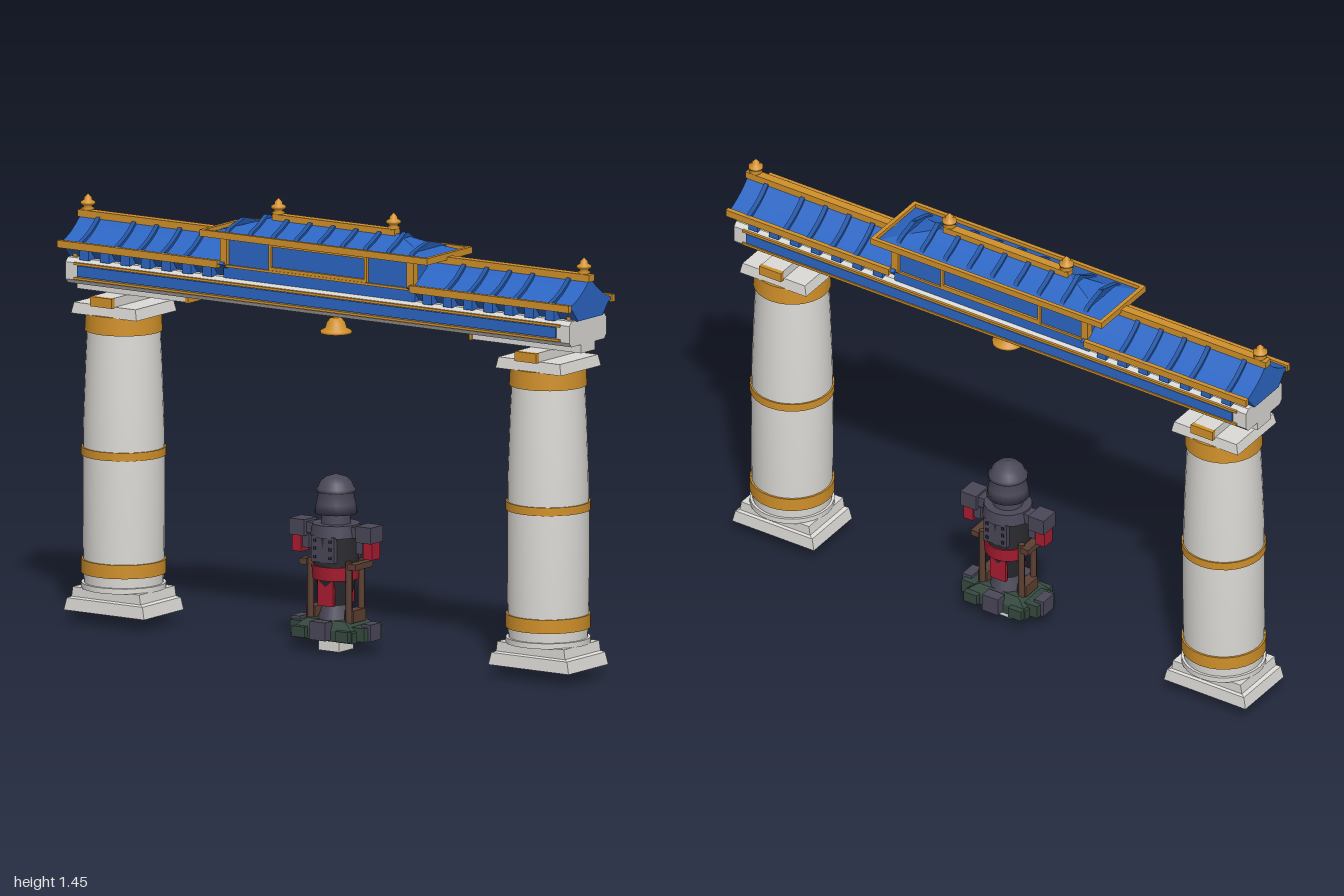
import * as THREE from 'three';

const mat = (name, color) => {
  const m = new THREE.MeshStandardMaterial({ color });
  m.name = name;
  return m;
};
const stone = mat('pale stone', 0xdcdad6), gold = mat('gold', 0xd0902a), blue = mat('blue', 0x2c66c4),
  rib = mat('rib blue', 0x2355a4), iron = mat('dark iron', 0x4a4758), red = mat('red', 0xa81c30),
  green = mat('dark green', 0x35493f), brown = mat('brown', 0x5c4033), black = mat('black', 0x2c2b30);

export function createModel() {
  const root = new THREE.Group();
  root.name = 'gateway';
  let part = root;
  const group = (name) => {
    part = new THREE.Group();
    part.name = name;
    root.add(part);
    return part;
  };
  const add = (name, geo, m, x = 0, y = 0, z = 0) => {
    const mesh = new THREE.Mesh(geo, m);
    mesh.name = name;
    mesh.position.set(x, y, z);
    part.add(mesh);
    return mesh;
  };
  // box by centre x, bottom and top y, centre z
  const box = (name, m, w, y0, y1, d, x = 0, z = 0) =>
    add(name, new THREE.BoxGeometry(w, y1 - y0, d), m, x, (y0 + y1) / 2, z);
  const cyl = (name, m, r0, r1, y0, y1, x = 0, z = 0, n = 28) =>
    add(name, new THREE.CylinderGeometry(r1, r0, y1 - y0, n), m, x, (y0 + y1) / 2, z);
  const lathe = (name, m, pts, x = 0, y = 0, z = 0, n = 20) =>
    add(name, new THREE.LatheGeometry(pts.map((p) => new THREE.Vector2(...p)), n), m, x, y, z);
  // rectangular rings [halfX, halfZ, y] joined from bottom to top
  const loft = (name, m, rings, x = 0, z = 0) => {
    const pos = [], idx = [];
    for (const [a, b, y] of rings) pos.push(-a, y, b, a, y, b, a, y, -b, -a, y, -b);
    for (let r = 0; r < rings.length - 1; r++)
      for (let i = 0; i < 4; i++) {
        const p = r * 4 + i, q = r * 4 + (i + 1) % 4;
        idx.push(p, q, q + 4, p, q + 4, p + 4);
      }
    const t = (rings.length - 1) * 4;
    idx.push(0, 2, 1, 0, 3, 2, t, t + 1, t + 2, t, t + 2, t + 3);
    let g = new THREE.BufferGeometry();
    g.setAttribute('position', new THREE.Float32BufferAttribute(pos, 3));
    g.setIndex(idx);
    g = g.toNonIndexed();
    g.computeVertexNormals();
    return add(name, g, m, x, 0, z);
  };
  // half cross-section [z, y] mirrored about z = 0 and extruded along x
  const bar = (name, m, half, x0, x1) => {
    const all = [...half, ...half.map(([z, y]) => [-z, y]).reverse()];
    const g = new THREE.ExtrudeGeometry(new THREE.Shape(all.map((p) => new THREE.Vector2(...p))),
      { depth: x1 - x0, bevelEnabled: false });
    g.rotateY(Math.PI / 2);
    return add(name, g, m, x0);
  };
  const finial = (x, y) => lathe('finial', gold, [[0.014, 0], [0.022, 0.008], [0.012, 0.014], [0.024, 0.022],
    [0.024, 0.029], [0.012, 0.036], [0.013, 0.042], [0, 0.056]], x, y);

  // Columns with plinths, bands and crossed brackets
  for (const s of [-1, 1]) {
    group(s < 0 ? 'rightColumn' : 'leftColumn');
    const x = s * 0.83;
    loft('plinth', stone, [[0.157, 0.112, 0.04], [0.148, 0.108, 0.08], [0.135, 0.1, 0.085], [0.13, 0.1, 0.117]], x);
    cyl('baseRing', stone, 0.137, 0.137, 0.115, 0.133, x);
    lathe('shaft', stone, [[0.128, 0.13], [0.132, 0.25], [0.133, 0.5], [0.13, 0.68], [0.124, 0.85], [0.116, 1.015]], x, 0, 0, 32);
    cyl('lowerBand', gold, 0.137, 0.137, 0.165, 0.21, x);
    cyl('middleBand', gold, 0.137, 0.137, 0.55, 0.577, x);
    cyl('upperBand', gold, 0.126, 0.123, 0.957, 1.016, x);
    loft('capital', stone, [[0.128, 0.113, 1.014], [0.12, 0.108, 1.05]], x);
    box('crossBracket', stone, 0.08, 1.05, 1.08, 0.23, x);
    for (const z of [-0.122, 0.122]) box('crossBracketEnd', gold, 0.084, 1.048, 1.08, 0.016, x, z);
    box('longBracket', stone, 0.425, 1.08, 1.112, 0.078, s * 0.7725);
    box('longBracketEnd', gold, 0.012, 1.078, 1.112, 0.084, s * 0.555);
  }

  // Lintel beam with inlaid stripes on both faces
  group('lintel');
  bar('beam', stone, [[0.092, 1.108], [0.105, 1.122], [0.105, 1.178], [0.092, 1.192]], -0.985, 0.985);
  for (const z of [-0.107, 0.107]) {
    box('beamStripe', blue, 1.87, 1.135, 1.17, 0.008, 0, z);
    box('upperTrim', gold, 1.9, 1.172, 1.18, 0.009, 0, z);
    box('lowerTrim', gold, 1.9, 1.124, 1.132, 0.009, 0, z);
  }

  // Curved side roofs
  const slope = [[0.124, 1.238], [0.095, 1.25], [0.065, 1.266], [0.035, 1.288], [0.006, 1.315]];
  const raised = slope.map(([z, y]) => [z, y + 0.01]);
  for (const s of [-1, 1]) {
    group(s < 0 ? 'rightRoof' : 'leftRoof');
    const span = (a, b) => (s < 0 ? [-b, -a] : [a, b]);
    bar('roof', blue, [[0.07, 1.19], [0.1, 1.228], ...slope], ...span(0.36, 0.995));
    for (const x of [0.51, 0.6, 0.69, 0.78, 0.92])
      bar('roofRib', rib, [[0.1, 1.235], ...raised], ...span(x - 0.008, x + 0.008));
    box('ridge', gold, 0.63, 1.31, 1.333, 0.03, s * 0.685);
    for (const z of [-0.122, 0.122]) {
      box('eave', gold, 0.625, 1.226, 1.25, 0.016, s * 0.6875, z);
      for (let i = 0; i < 7; i++)
        box('dentil', blue, 0.035, 1.19, 1.228, 0.05, s * (0.43 + i * 0.08), z * 0.68);
      box('endPost', gold, 0.015, 1.19, 1.228, 0.014, s * 0.965, z * 0.6);
    }
    finial(s * 0.97, 1.331);
  }

  // Raised central pavilion
  group('pavilion');
  box('walls', blue, 0.75, 1.19, 1.33, 0.19);
  box('eaveBoard', blue, 0.87, 1.323, 1.332, 0.24);
  loft('hipRoof', blue, [[0.438, 0.122, 1.33], [0.4, 0.088, 1.342], [0.34, 0.05, 1.358], [0.25, 0.006, 1.385]]);
  for (const s of [-1, 1]) {
    box('longEave', gold, 0.89, 1.323, 1.345, 0.014, 0, s * 0.122);
    box('shortEave', gold, 0.014, 1.323, 1.345, 0.25, s * 0.438);
    box('sillTrim', gold, 0.75, 1.226, 1.234, 0.008, 0, s * 0.097);
    for (const t of [-1, 1]) {
      box('cornerPost', gold, 0.026, 1.235, 1.325, 0.026, s * 0.365, t * 0.096);
      box('frameSide', gold, 0.01, 1.235, 1.322, 0.009, t * 0.187, s * 0.099);
    }
    box('frameTop', gold, 0.384, 1.312, 1.322, 0.009, 0, s * 0.099);
    box('frameBottom', gold, 0.384, 1.235, 1.245, 0.009, 0, s * 0.099);
    cyl('hipKnob', rib, 0.012, 0.006, 1.34, 1.375, s * 0.36, 0, 8);
    finial(s * 0.225, 1.397);
  }
  for (let i = -4; i <= 4; i++) {
    const low = Math.abs(i) === 4 ? 0.02 : 0;
    bar('roofRib', rib, [[0.105, 1.33], [0.088, 1.35], [0.05, 1.367 - low / 4], [0.006, 1.393 - low]],
      i * 0.09 - 0.008, i * 0.09 + 0.008);
  }
  box('ridge', gold, 0.48, 1.38, 1.4, 0.03);

  // Hanging bell
  group('bell');
  cyl('bellStem', gold, 0.01, 0.01, 1.08, 1.112, 0, 0, 12);
  lathe('bellBody', gold, [[0, 1.045], [0.044, 1.033], [0.051, 1.035], [0.051, 1.043], [0.035, 1.052], [0.03, 1.07],
    [0.018, 1.083], [0, 1.087]], 0, 0, 0, 24);

  // Guardian figure on its stand
  group('guardian');
  box('foot', stone, 0.08, 0, 0.045, 0.08);
  loft('standCentre', green, [[0.115, 0.075, 0.04], [0.115, 0.075, 0.075], [0.075, 0.055, 0.105]]);
  for (const s of [-1, 1]) {
    box('standArmSide', green, 0.06, 0.045, 0.09, 0.1, s * 0.115);
    box('standEnd', iron, 0.035, 0.045, 0.1, 0.06, s * 0.138);
    box('standFront', iron, 0.06, 0.045, 0.105, 0.04, 0, s * 0.085);
    for (const t of [-1, 1]) {
      box('standCorner', green, 0.05, 0.045, 0.08, 0.045, s * 0.085, t * 0.07);
      cyl('pole', brown, 0.011, 0.011, 0.09, 0.3, s * 0.075, t * 0.035, 8);
    }
    box('poleRail', brown, 0.03, 0.275, 0.295, 0.1, s * 0.095);
    box('poleFoot', brown, 0.035, 0.1, 0.14, 0.07, s * 0.075);
    box('arm', iron, 0.09, 0.375, 0.41, 0.045, s * 0.09);
    box('shoulder', iron, 0.06, 0.365, 0.418, 0.07, s * 0.13);
    box('sleeve', red, 0.035, 0.31, 0.37, 0.045, s * 0.138);
    box('cuff', iron, 0.025, 0.325, 0.37, 0.04, s * 0.105);
    box('sash', red, 0.06, 0.15, 0.24, 0.012, 0, s * 0.055);
    box('chestPlate', iron, 0.09, 0.295, 0.38, 0.016, 0, s * 0.068);
    for (const t of [-1, 1])
      for (const y of [0.312, 0.34, 0.366])
        box('rivet', black, 0.01, y - 0.005, y + 0.005, 0.006, t * 0.03, s * 0.077);
  }
  cyl('skirt', iron, 0.06, 0.04, 0.1, 0.16, 0, 0, 12);
  cyl('lowerBody', black, 0.045, 0.068, 0.15, 0.24, 0, 0, 16);
  cyl('belt', red, 0.076, 0.08, 0.235, 0.28, 0, 0, 16);
  cyl('torso', black, 0.074, 0.078, 0.275, 0.4, 0, 0, 16);
  cyl('collar', iron, 0.084, 0.078, 0.375, 0.415, 0, 0, 16);
  cyl('neck', iron, 0.05, 0.046, 0.41, 0.455, 0, 0, 16);
  lathe('helmet', iron, [[0, 0.45], [0.07, 0.448], [0.064, 0.48], [0.057, 0.515], [0.064, 0.518], [0.064, 0.528],
    [0.058, 0.532], [0.052, 0.548], [0.036, 0.564], [0, 0.575]], 0, 0, 0, 20);

  return root;
}
